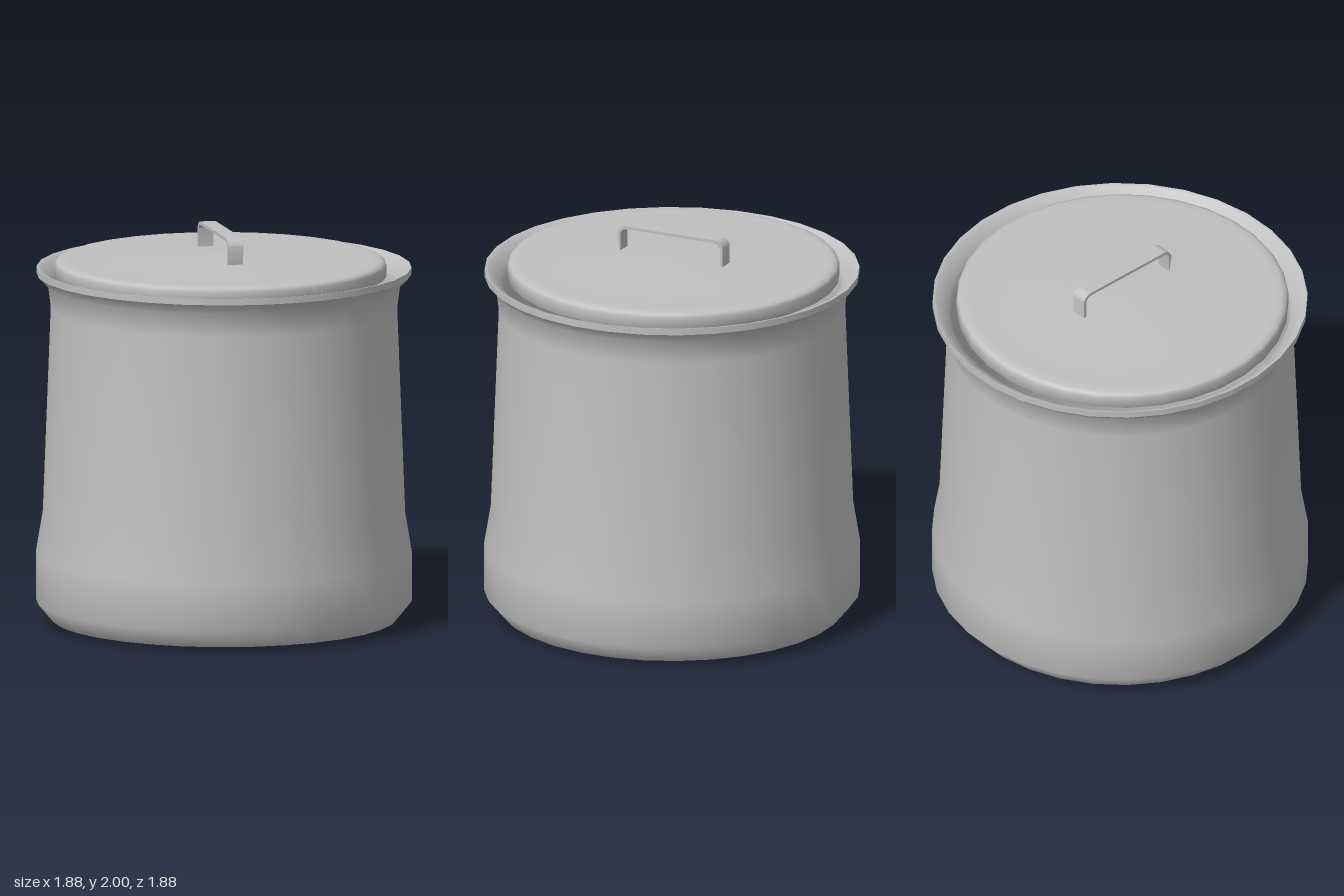
import * as THREE from 'three';
import { toCreasedNormals } from 'three/addons/utils/BufferGeometryUtils.js';

const SIDES = 32;

export function createModel() {
  const model = new THREE.Group();
  const steel = new THREE.MeshStandardMaterial({ color: 0xc0c0c0 });
  steel.name = 'steel';

  const add = (name, geometry, parent) => {
    const mesh = new THREE.Mesh(geometry, steel);
    mesh.name = name;
    parent.add(mesh);
    return mesh;
  };
  // Turned part from [radius, height] points, with flat facets facing the axes
  const turned = (name, points, parent) => add(name, new THREE.LatheGeometry(
    points.map(([r, y]) => new THREE.Vector2(r, y)), SIDES, Math.PI / SIDES), parent);

  // Pot: base, outer wall, rolled rim and inside
  const pot = new THREE.Group();
  pot.name = 'pot';
  model.add(pot);
  turned('base', [[0, 0], [0.5, 0.006], [0.87, 0.017]], pot);
  turned('outerWall', [
    [0.87, 0.017], [0.947, 0.11], [0.947, 0.35], [0.912, 0.56],
    [0.872, 1.6], [0.887, 1.72], [0.944, 1.775],
  ], pot);
  turned('rimEdge', [[0.944, 1.775], [0.944, 1.808]], pot);
  turned('rimTop', [[0.944, 1.808], [0.925, 1.805], [0.865, 1.755], [0.85, 1.7], [0.848, 1.6]], pot);
  turned('innerWall', [[0.848, 1.6], [0.885, 0.56], [0.92, 0.35], [0.92, 0.12], [0.85, 0.04], [0, 0.03]], pot);

  // Lid, sitting slightly off the pot's axis
  const lid = new THREE.Group();
  lid.name = 'lid';
  lid.position.x = -0.018;
  model.add(lid);
  turned('lidEdge', [
    [0, 1.75], [0.81, 1.75], [0.836, 1.765], [0.836, 1.822],
    [0.826, 1.838], [0.805, 1.846], [0.77, 1.847],
  ], lid);
  turned('lidTop', [[0.77, 1.847], [0.53, 1.848], [0.2, 1.872], [0, 1.876]], lid);

  // Bent strap handle running front to back
  const half = 0.295, top = 2, foot = 1.85, thick = 0.016, bend = 0.05;
  const strap = new THREE.Shape();
  strap.moveTo(half, foot);
  strap.absarc(half - bend, top - bend, bend, 0, Math.PI / 2, false);
  strap.absarc(bend - half, top - bend, bend, Math.PI / 2, Math.PI, false);
  strap.lineTo(-half, foot);
  strap.lineTo(thick - half, foot);
  strap.absarc(bend - half, top - bend, bend - thick, Math.PI, Math.PI / 2, true);
  strap.absarc(half - bend, top - bend, bend - thick, Math.PI / 2, 0, true);
  strap.lineTo(half - thick, foot);
  strap.closePath();
  const strapGeometry = new THREE.ExtrudeGeometry(strap, { depth: 0.08, bevelEnabled: false, curveSegments: 8 });
  const handle = add('lidHandle', toCreasedNormals(strapGeometry, 0.6), lid);
  handle.rotation.y = -Math.PI / 2;
  handle.position.x = 0.04;

  return model;
}
